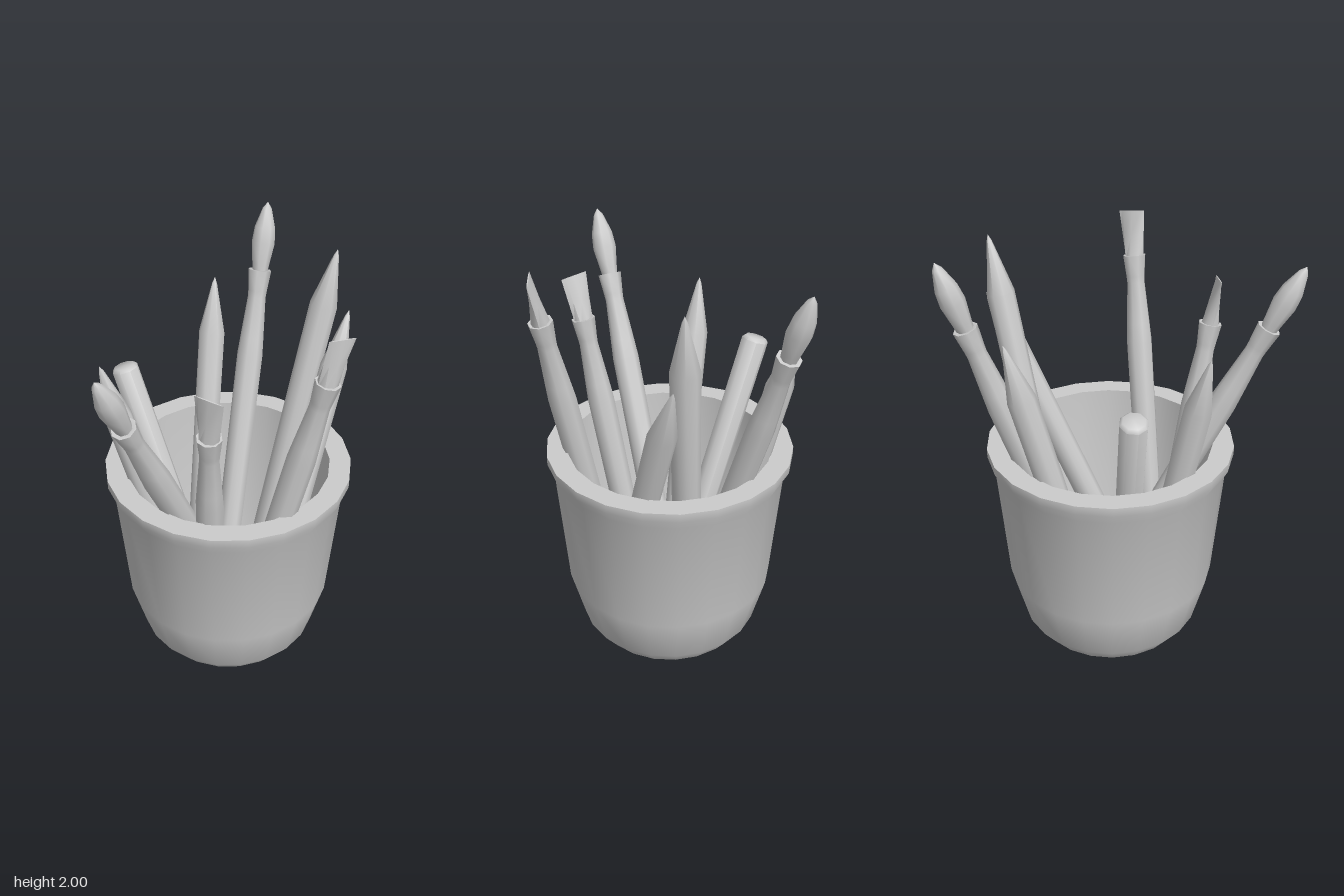
import * as THREE from 'three';
import { toCreasedNormals } from 'three/addons/utils/BufferGeometryUtils.js';

const material = new THREE.MeshStandardMaterial({ color: 0xcccccc });

function turned(name, profile, sides, crease) {
  const points = profile.map(([r, y]) => new THREE.Vector2(r, y));
  const mesh = new THREE.Mesh(toCreasedNormals(new THREE.LatheGeometry(points, sides), crease), material);
  mesh.name = name;
  return mesh;
}

// Stands a tool built along +y so it runs from its foot to its tip
function lean(name, foot, tip, build) {
  const a = new THREE.Vector3(...foot);
  const axis = new THREE.Vector3(...tip).sub(a);
  const tool = new THREE.Group();
  tool.name = name;
  tool.add(...build(axis.length()));
  tool.position.copy(a);
  tool.quaternion.setFromUnitVectors(new THREE.Vector3(0, 1, 0), axis.normalize());
  return tool;
}

const pencil = (len) => [
  turned('sharpenedPencil', [[0, 0], [0.064, 0], [0.064, len - 0.27], [0.012, len - 0.03], [0, len]], 8, 0.9),
];

const rod = (len) => [
  turned('bluntRod', [[0, 0], [0.064, 0], [0.064, len - 0.015], [0.05, len], [0, len]], 8, 0.9),
];

// Handle with a narrow neck and a flared collar; top is the collar height
const handle = (top) => turned('brushHandle', [
  [0, 0], [0.062, 0], [0.064, top - 0.42], [0.058, top - 0.33], [0.044, top - 0.13],
  [0.046, top - 0.1], [0.056, top], [0.04, top], [0, top - 0.02],
], 8, 0.9);

const roundBrush = (len) => [
  handle(len - 0.32),
  turned('roundBristles', [
    [0.036, len - 0.34], [0.042, len - 0.29], [0.056, len - 0.19],
    [0.05, len - 0.12], [0.022, len - 0.03], [0, len],
  ], 8, 0.9),
];

// Bristles flattened from a round base into a wide thin edge
const flatBrush = (turn) => (len) => {
  const height = 0.23;
  const geometry = new THREE.CylinderGeometry(1, 1, height, 8, 2);
  const p = geometry.attributes.position;
  for (let i = 0; i < p.count; i++) {
    const t = p.getY(i) / height + 0.5;
    p.setX(i, p.getX(i) * (0.046 + 0.02 * t));
    p.setZ(i, p.getZ(i) * (0.042 * (1 - t) + 0.003));
  }
  const bristles = new THREE.Mesh(toCreasedNormals(geometry, 0.9), material);
  bristles.name = 'flatBristles';
  bristles.position.y = len - height / 2;
  bristles.rotation.y = turn;
  return [handle(len - 0.21), bristles];
};

export function createModel() {
  const model = new THREE.Group();
  model.name = 'brushPot';

  // Pot: outer wall, rim, inner wall and floor in one profile
  const pot = turned('pot', [
    [0, 0], [0.38, 0], [0.44, 0.08], [0.502, 0.32], [0.55, 0.93], [0.58, 0.985], [0.58, 1.027],
    [0.48, 1.027], [0.455, 0.35], [0.4, 0.08], [0, 0.08],
  ], 22, 0.6);
  pot.rotation.y = Math.PI / 2;
  pot.position.set(-0.008, 0, -0.016);
  model.add(pot);

  // Tools: name, foot, tip, builder
  const tools = [
    ['backRoundBrush', [-0.07, 0.1, -0.12], [-0.027, 2.0, -0.765], roundBrush],
    ['frontRoundBrush', [0.005, 0.1, -0.05], [-0.3, 1.9, 0.77], roundBrush],
    ['leftFlatBrush', [0.12, 0.1, 0.26], [0.535, 1.93, 0.265], flatBrush(Math.PI / 4)],
    ['frontFlatBrush', [-0.03, 0.1, 0.23], [0.07, 1.73, 0.53], flatBrush(-0.2)],
    ['tallPencil', [0.07, 0.1, -0.22], [0.37, 1.95, -0.465], pencil],
    ['leftPencil', [0.21, 0.1, 0.13], [0.44, 1.65, -0.475], pencil],
    ['backPencil', [-0.215, 0.1, -0.14], [-0.225, 1.69, -0.545], pencil],
    ['rightPencil', [-0.16, 0.1, 0.115], [-0.5, 1.63, 0.265], pencil],
    ['rightRod', [-0.1, 0.1, 0.02], [-0.53, 1.42, -0.08], rod],
  ];
  for (const t of tools) model.add(lean(...t));
  return model;
}
